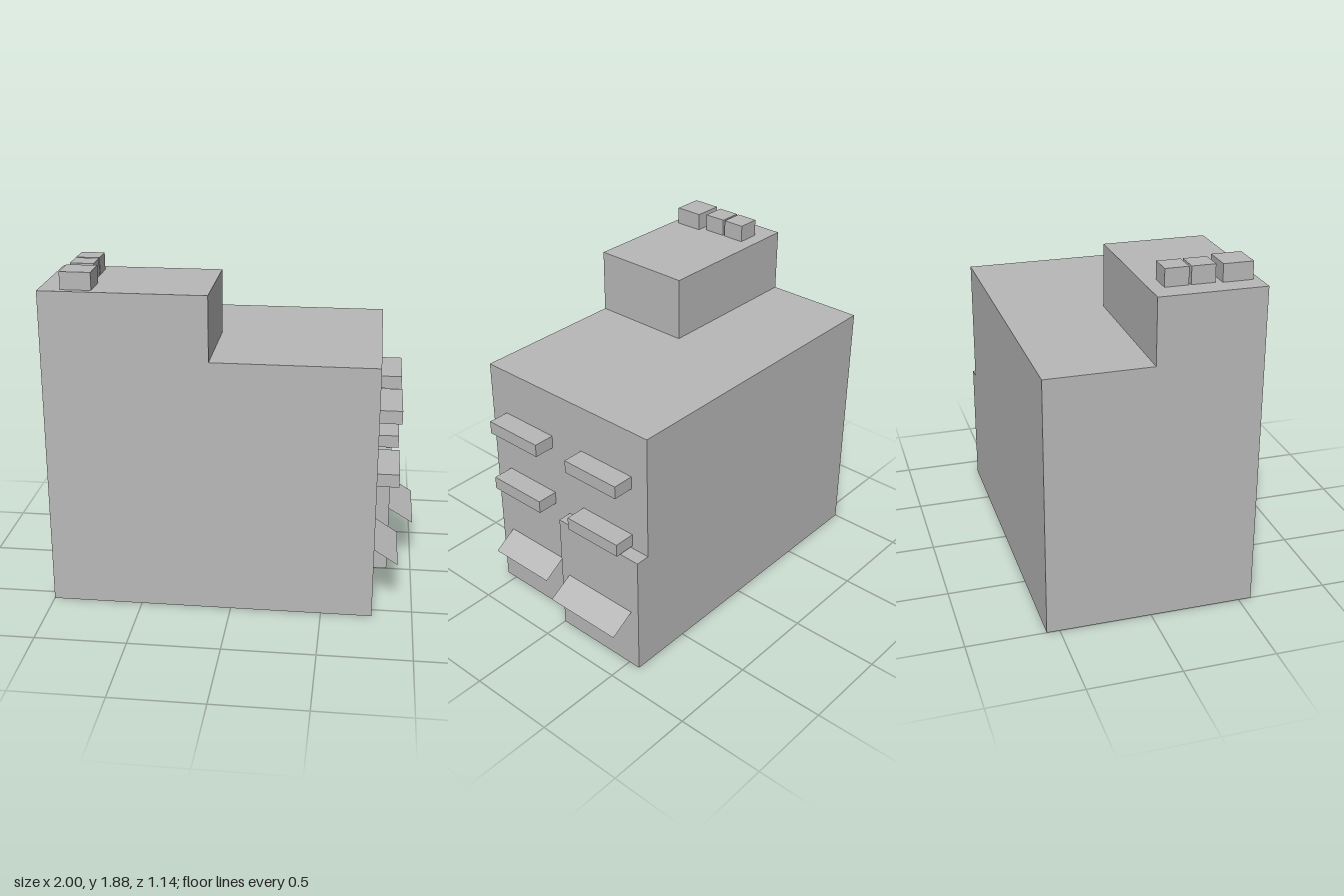
import * as THREE from 'three';

const grey = new THREE.MeshStandardMaterial({ color: 0xb8b8b8, side: THREE.DoubleSide });
grey.name = 'plain grey';

// Key levels of the building
const L = -1, R = 0.78, PORCH = 0.86, STEP = -0.11;
const F = 0.57, B = -0.57, ROOF = 1.43, TOP = 1.785, PORCH_TOP = 0.715;

// How flat outline coordinates (a, b) map to space for each facing axis
const MAP = {
  x: (a, b, d) => [d, b, a], // outline in z, y
  y: (a, b, d) => [a, d, b], // outline in x, z
  z: (a, b, d) => [a, b, d], // outline in x, y
};

export function createModel() {
  const model = new THREE.Group();
  model.name = 'building';

  const add = (parent, name, geometry) => {
    const mesh = new THREE.Mesh(geometry, grey);
    mesh.name = name;
    parent.add(mesh);
    return mesh;
  };

  // Flat panel facing along an axis, sign gives the outward side
  const panel = (parent, name, axis, sign, d, outline) => {
    const g = new THREE.ShapeGeometry(new THREE.Shape(outline.map(([a, b]) => new THREE.Vector2(a, b))));
    const p = g.attributes.position;
    for (let i = 0; i < p.count; i++) p.setXYZ(i, ...MAP[axis](p.getX(i), p.getY(i), d));
    g.computeVertexNormals();
    if (g.attributes.normal['get' + axis.toUpperCase()](0) * sign < 0) {
      g.index.array.reverse();
      g.computeVertexNormals();
    }
    return add(parent, name, g);
  };

  const rect = (a0, b0, a1, b1) => [[a0, b0], [a1, b0], [a1, b1], [a0, b1]];

  const box = (parent, name, x0, x1, y0, y1, z0, z1) => {
    const mesh = add(parent, name, new THREE.BoxGeometry(x1 - x0, y1 - y0, z1 - z0));
    mesh.position.set((x0 + x1) / 2, (y0 + y1) / 2, (z0 + z1) / 2);
  };

  // Hollow shell, with a floor under the front half only
  const shell = new THREE.Group();
  shell.name = 'shell';
  model.add(shell);
  panel(shell, 'frontWall', 'z', 1, F, [[L, 0], [R, 0], [R, ROOF], [STEP, ROOF], [STEP, TOP], [L, TOP]]);
  panel(shell, 'backWall', 'z', -1, B, [[L, 0], [PORCH, 0], [PORCH, PORCH_TOP], [R, PORCH_TOP], [R, ROOF], [L, ROOF]]);
  panel(shell, 'rightEndWall', 'x', -1, L, [[B, 0], [F, 0], [F, TOP], [0, TOP], [0, ROOF], [B, ROOF]]);
  panel(shell, 'leftEndWall', 'x', 1, R, [[0, 0], [F, 0], [F, ROOF], [B, ROOF], [B, PORCH_TOP], [0, PORCH_TOP]]);
  panel(shell, 'mainRoof', 'y', 1, ROOF, [[L, B], [R, B], [R, F], [STEP, F], [STEP, 0], [L, 0]]);
  panel(shell, 'floor', 'y', -1, 0, rect(L, 0, R, F));

  // Raised upper storey
  panel(shell, 'upperRoof', 'y', 1, TOP, rect(L, 0, STEP, F));
  panel(shell, 'upperSideWall', 'x', 1, STEP, rect(0, ROOF, F, TOP));
  panel(shell, 'upperBackWall', 'z', -1, 0, rect(L, ROOF, STEP, TOP));

  // Shallow bay projecting from the end wall
  panel(shell, 'bayWall', 'x', 1, PORCH, rect(B, 0, 0, PORCH_TOP));
  panel(shell, 'bayRoof', 'y', 1, PORCH_TOP, rect(R, B, PORCH, 0));
  panel(shell, 'bayFrontWall', 'z', 1, 0, rect(R, 0, PORCH, PORCH_TOP));

  // Balconies in two rows
  for (const y of [0.73, 1.092])
    for (const z of [-0.285, 0.285])
      box(model, 'balcony', R, 0.9, y, y + 0.073, z - 0.177, z + 0.177);

  // Sloping awnings, low at the outer edge
  const awning = (x0, x1, z0, z1) => {
    const g = new THREE.PlaneGeometry(1, 1);
    const p = g.attributes.position;
    for (let i = 0; i < 4; i++) {
      const outer = p.getY(i) < 0;
      p.setXYZ(i, outer ? x1 : x0, outer ? 0.28 : 0.365, p.getX(i) < 0 ? z1 : z0);
    }
    g.computeVertexNormals();
    add(model, 'awning', g);
  };
  awning(R, 0.91, 0.08, 0.49);
  awning(PORCH, 1, -0.52, -0.055);

  // Rooftop chimneys
  box(model, 'largeChimney', -0.885, -0.72, TOP, 1.88, 0.375, 0.535);
  for (const z of [0.14, 0.278])
    box(model, 'smallChimney', -0.875, -0.748, TOP, 1.88, z - 0.063, z + 0.063);

  return model;
}
